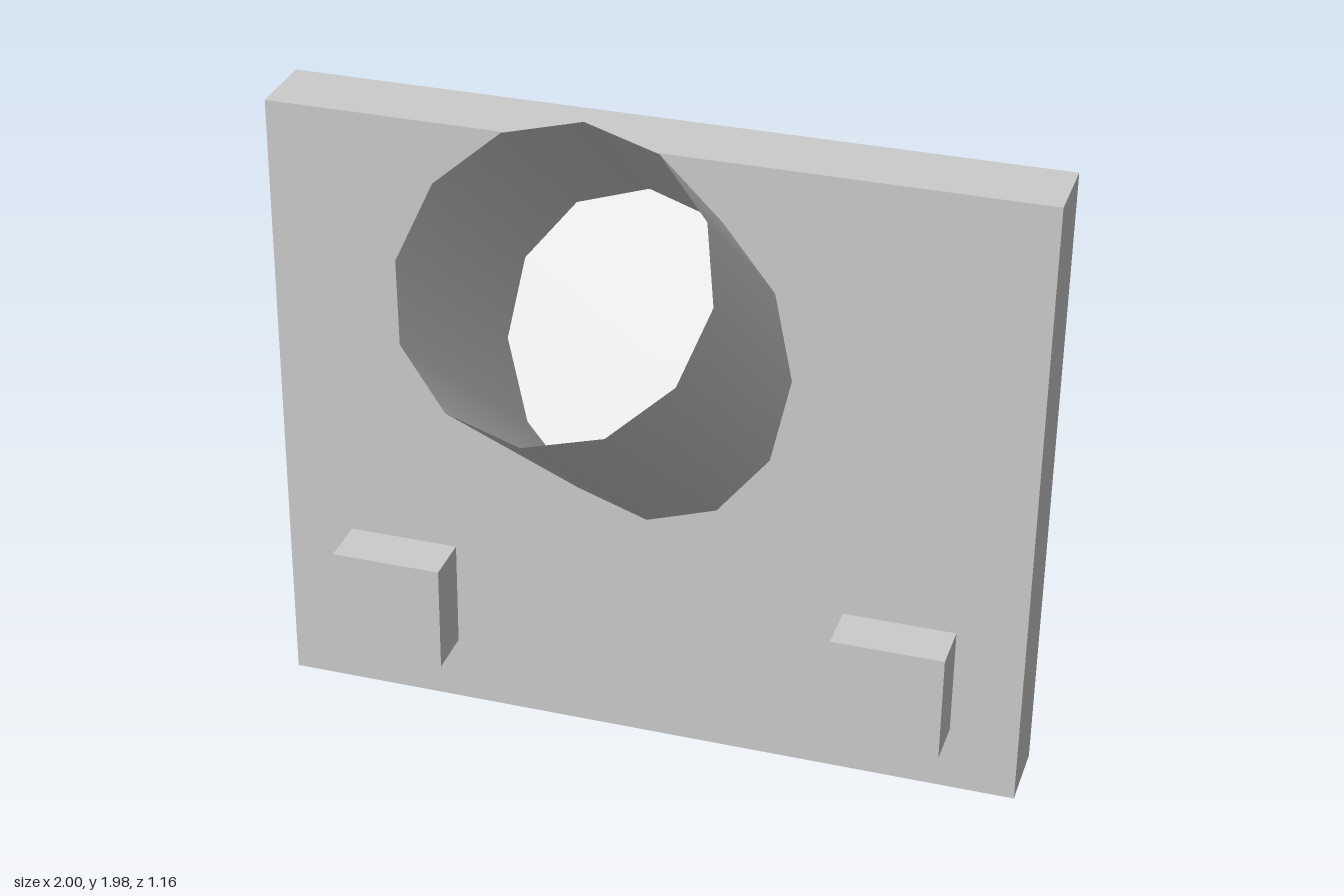
import * as THREE from 'three';

const FRONT = -0.38, BACK = -0.58, HEIGHT = 1.69;
const RADIUS = 0.37, SIDES = 12;
const RIM = new THREE.Vector3(0, 1.69, 0.35); // centre of the open tube end
const TILT = Math.atan2(1.69 - 1.125, 0.35 - FRONT);
const AXIS = new THREE.Vector3(0, Math.sin(TILT), Math.cos(TILT));

// Slide a point along the tube axis until it lies on the panel
function slideToPanel(p) {
  return p.addScaledVector(AXIS, (FRONT - p.z) / AXIS.z);
}

function slideVertices(geometry, test) {
  const pos = geometry.attributes.position;
  const p = new THREE.Vector3();
  for (let i = 0; i < pos.count; i++) {
    p.fromBufferAttribute(pos, i);
    if (!test(i)) continue;
    slideToPanel(p);
    pos.setXYZ(i, p.x, p.y, p.z);
  }
  return geometry;
}

export function createModel() {
  const group = new THREE.Group();
  const grey = new THREE.MeshStandardMaterial({ color: 0xcccccc, side: THREE.DoubleSide });
  grey.name = 'light grey';

  function add(name, geometry, x = 0, y = 0, z = 0) {
    const mesh = new THREE.Mesh(geometry, grey);
    mesh.name = name;
    mesh.position.set(x, y, z);
    group.add(mesh);
  }

  // Front panel with an opening where the tube meets it
  const panel = new THREE.Shape();
  panel.moveTo(-1, 0).lineTo(1, 0).lineTo(1, HEIGHT).lineTo(-1, HEIGHT).closePath();
  const ring = [];
  for (let i = 0; i < SIDES; i++) {
    const a = (i / SIDES) * Math.PI * 2;
    ring.push(new THREE.Vector2(RADIUS * Math.sin(a), 1.125 + (RADIUS / Math.cos(TILT)) * Math.cos(a)));
  }
  panel.holes.push(new THREE.Path(ring));
  add('frontPanel', new THREE.ShapeGeometry(panel), 0, 0, FRONT);

  // Four thin walls around the panel, open at the back
  const walls = new THREE.BoxGeometry(2, HEIGHT, FRONT - BACK);
  walls.setIndex(Array.from(walls.index.array.slice(0, 24)));
  walls.clearGroups();
  add('panelWalls', walls, 0, HEIGHT / 2, (FRONT + BACK) / 2);

  // Slanted tube, its lower end cut flush with the panel
  const tube = new THREE.CylinderGeometry(RADIUS, RADIUS, 1, SIDES, 1, true);
  tube.translate(0, -0.5, 0).rotateX(Math.PI / 2 - TILT).translate(RIM.x, RIM.y, RIM.z);
  add('tube', slideVertices(tube, (i) => i > SIDES));

  // Tube floor, still shaded as a square-cut end
  const floor = new THREE.CircleGeometry(RADIUS, SIDES);
  floor.rotateX(-TILT).translate(RIM.x, RIM.y, RIM.z);
  add('tubeFloor', slideVertices(floor, () => true));

  // Two square blocks on the lower front
  for (const side of [1, -1]) {
    add(side > 0 ? 'leftBlock' : 'rightBlock', new THREE.BoxGeometry(0.295, 0.295, 0.135),
      side * 0.673, 0.328, FRONT + 0.0675);
  }
  return group;
}
